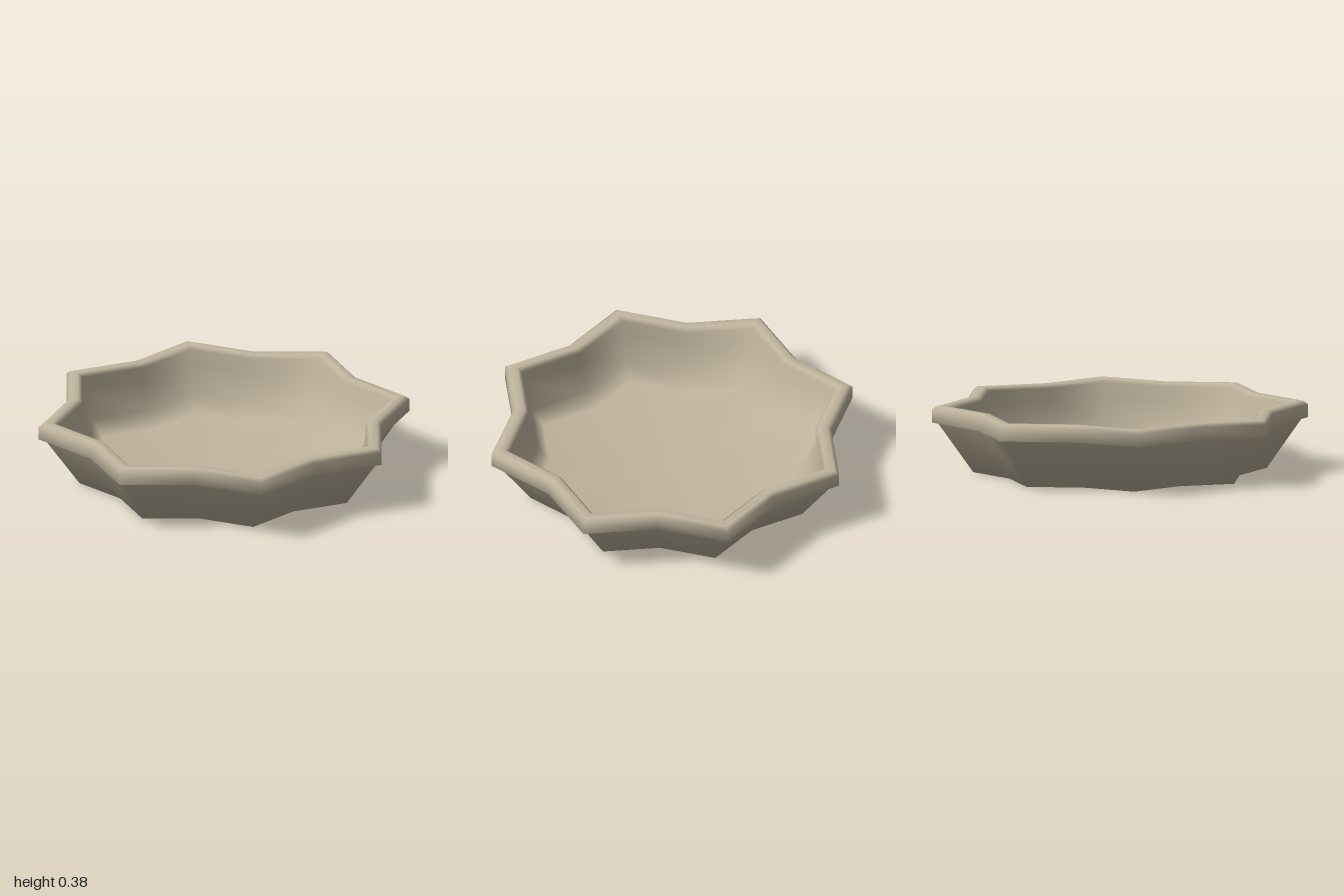
import * as THREE from 'three';
import { mergeVertices } from 'three/addons/utils/BufferGeometryUtils.js';

const POINTS = 8;        // star tips
const TIP = 1.082;       // tip radius at full scale
const VALLEY = 0.916;    // valley radius at full scale

// Sweep a [scale, y] profile round the star, with smooth normals inside the band
function starBand(profile) {
  const lathe = new THREE.LatheGeometry(
    profile.map(([s, y]) => new THREE.Vector2(s, y)), POINTS * 2);
  const pos = lathe.attributes.position;
  const n = profile.length;
  for (let i = 0; i < pos.count; i++) {
    const r = Math.floor(i / n) % 2 ? TIP : VALLEY;
    pos.setX(i, pos.getX(i) * r);
    pos.setZ(i, pos.getZ(i) * r);
  }
  lathe.deleteAttribute('uv');
  lathe.deleteAttribute('normal');
  const geometry = mergeVertices(lathe, 1e-4);
  geometry.computeVertexNormals();
  return geometry;
}

export function createModel() {
  const group = new THREE.Group();
  group.name = 'starDish';
  const clay = new THREE.MeshStandardMaterial({ color: 0xc1b69f });
  clay.name = 'beige clay';

  const bands = {
    // base blending softly into the flared outer wall
    outerShell: [[0, 0], [0.78, 0], [0.97, 0.29]],
    // rounded rim, steep inner wall, bevel and thin floor
    rimAndBowl: [
      [0.97, 0.29], [1, 0.29], [1, 0.365], [0.975, 0.385], [0.925, 0.385], [0.9, 0.365],
      [0.9, 0.28], [0.84, 0.12], [0.77, 0.03], [0, 0.03],
    ],
  };
  for (const [name, profile] of Object.entries(bands)) {
    const mesh = new THREE.Mesh(starBand(profile), clay);
    mesh.name = name;
    group.add(mesh);
  }
  return group;
}
